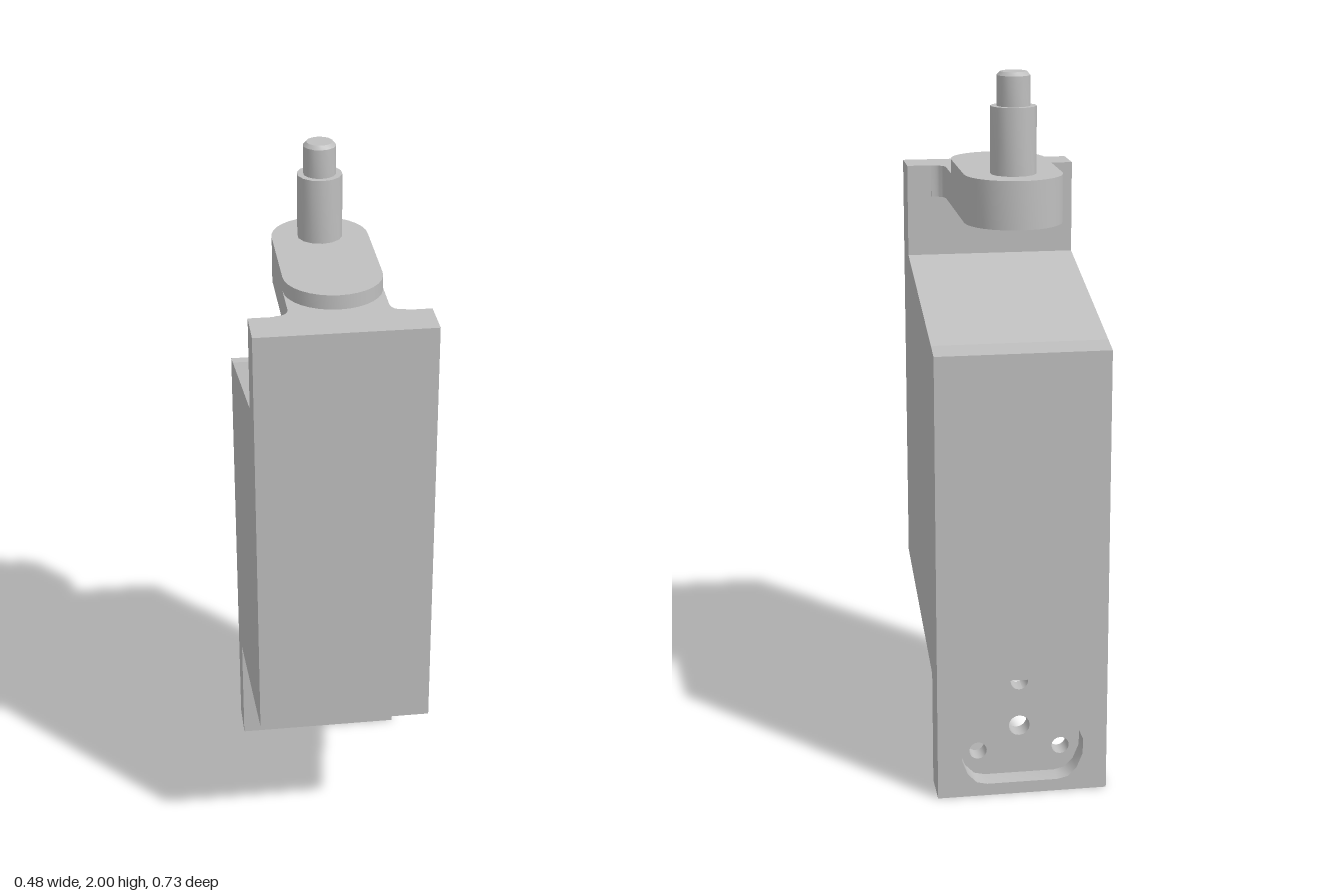
import * as THREE from 'three';
import { toCreasedNormals } from 'three/addons/utils/BufferGeometryUtils.js';

const W = 0.24; // half width of the body

const shapeOf = (pts) => new THREE.Shape(pts.map(([x, y]) => new THREE.Vector2(x, y)));

function extrude(shape, depth) {
  const g = new THREE.ExtrudeGeometry(shape, { depth, bevelEnabled: false, curveSegments: 8 });
  return toCreasedNormals(g, 0.6);
}

export function createModel() {
  const group = new THREE.Group();
  const grey = new THREE.MeshStandardMaterial({ color: 0xbfbfbf });
  grey.name = 'grey';

  function add(name, geometry) {
    const mesh = new THREE.Mesh(geometry, grey);
    mesh.name = name;
    group.add(mesh);
  }

  // Main body: side profile given as (z, y), extruded across the width
  const body = extrude(shapeOf([
    [0.365, 0.48], [0.365, 1.69], [0.247, 1.69], [0.247, 1.43],
    [-0.305, 1.295], [-0.305, 0.36], [-0.25, 0.36], [-0.25, 0.33],
  ]), 2 * W);
  body.rotateY(-Math.PI / 2).translate(W, 0, 0);
  add('body', body);

  // Back wall with the rounded triangular socket recess
  const wall = shapeOf([[-W, 0], [W, 0], [W, 1.28], [-W, 1.28]]);
  const half = [
    [0.1, 0.035], [0.13, 0.042], [0.155, 0.068], [0.172, 0.11],
    [0.172, 0.155], [0.155, 0.195], [0.08, 0.322], [0.045, 0.345],
  ];
  const mirrored = half.map(([x, y]) => [-x, y]).reverse();
  wall.holes.push(shapeOf([...half, ...mirrored]));
  const wallGeo = extrude(wall, 0.06);
  // Tilt the top edge so that it continues the sloping shoulder
  const p = wallGeo.attributes.position;
  for (let i = 0; i < p.count; i++) {
    if (p.getY(i) > 1) p.setY(i, 1.28 + p.getZ(i) * 0.25);
  }
  wallGeo.translate(0, 0, -0.365);
  add('backWall', wallGeo);

  // Recess floor with its through holes
  const floor = shapeOf([[-W, 0], [W, 0], [W, 0.36], [-W, 0.36]]);
  for (const [x, y, r] of [[0, 0.18, 0.03], [0.118, 0.11, 0.025], [-0.118, 0.11, 0.025], [0, 0.315, 0.025]]) {
    floor.holes.push(new THREE.Path().absarc(x, y, r, 0, Math.PI * 2, true));
  }
  add('socketFloor', extrude(floor, 0.055).translate(0, 0, -0.305));

  // Shapes drawn in plan, with y = -z, then raised
  const plan = (shape, bottom, height) =>
    extrude(shape, height).rotateX(-Math.PI / 2).translate(0, bottom, 0);

  // Oblong arm
  const arm = new THREE.Shape();
  arm.absarc(0, 0.182, 0.133, 0, Math.PI, false);
  arm.absarc(0, -0.09, 0.133, Math.PI, Math.PI * 2, false);
  arm.closePath();
  add('arm', plan(arm, 1.6, 0.13));

  // Filleted web joining the arm to the front plate
  const web = new THREE.Shape();
  web.moveTo(0.133, -0.09);
  web.lineTo(-0.133, -0.09);
  web.lineTo(-0.133, -0.205);
  web.quadraticCurveTo(-0.133, -0.243, -0.172, -0.243);
  web.lineTo(-0.172, -0.25);
  web.lineTo(0.172, -0.25);
  web.lineTo(0.172, -0.243);
  web.quadraticCurveTo(0.133, -0.243, 0.133, -0.205);
  web.closePath();
  add('armWeb', plan(web, 1.6, 0.09));

  // Stepped pin with a chamfered tip
  const profile = [[0.062, 1.72], [0.062, 1.91], [0.045, 1.91], [0.045, 1.99], [0.036, 2], [0, 2]];
  const pin = new THREE.LatheGeometry(profile.map(([r, y]) => new THREE.Vector2(r, y)), 14);
  add('pin', toCreasedNormals(pin, 0.6).translate(0, 0, -0.182));

  return group;
}
